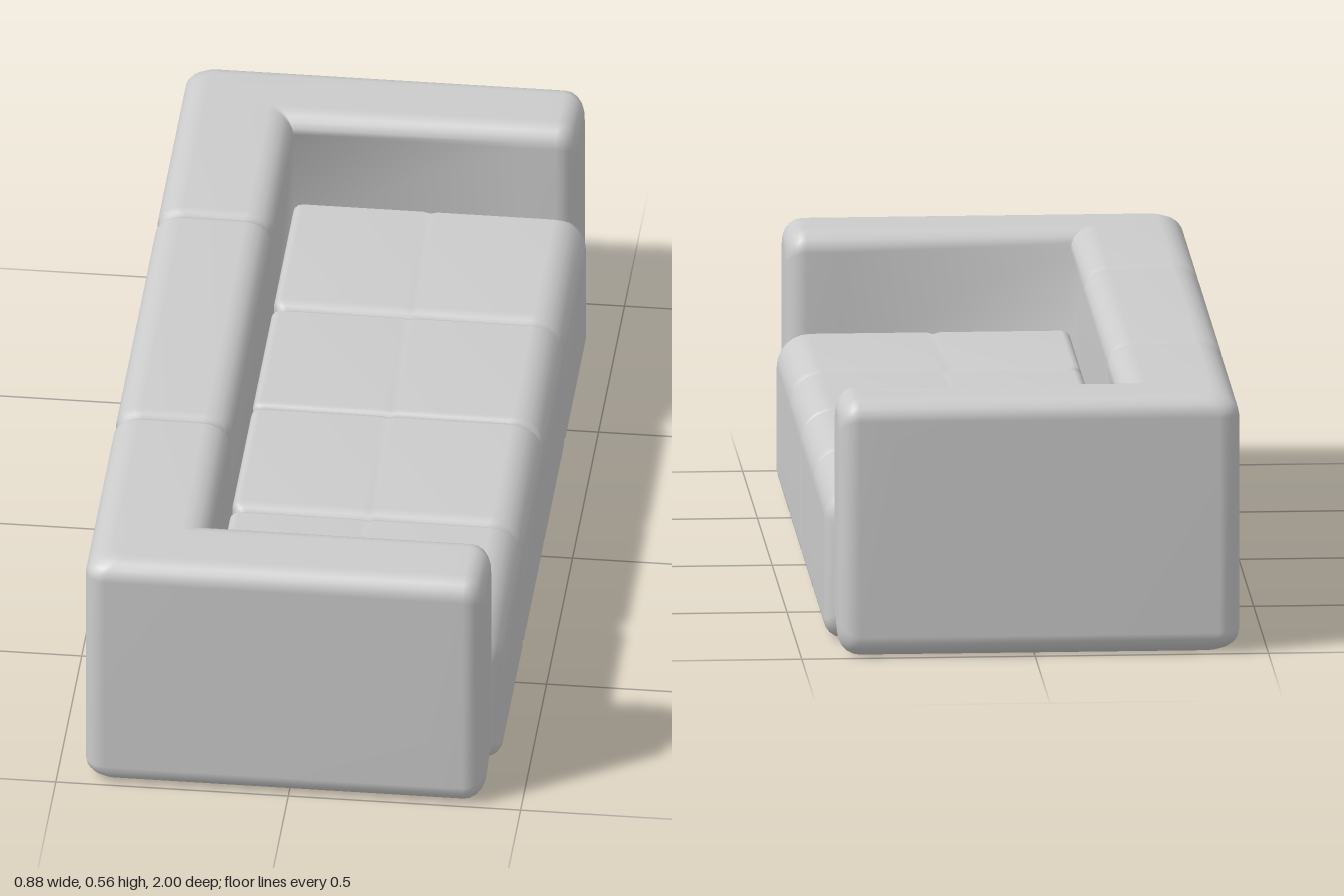
import * as THREE from 'three';
import { mergeVertices } from 'three/addons/utils/BufferGeometryUtils.js';

const material = new THREE.MeshStandardMaterial({ color: 0xcccccc, side: THREE.DoubleSide });

// Points of a quarter arc, from angle a0 to a1 in degrees
function arc(cx, cy, r, a0, a1, n = 5) {
  return Array.from({ length: n + 1 }, (_, i) => {
    const a = THREE.MathUtils.degToRad(a0 + (a1 - a0) * i / n);
    return [cx + r * Math.cos(a), cy + r * Math.sin(a)];
  });
}

// Sweeps a profile [across 0..1, y] over stations { o, i, inset, floor }
// o and i are the [x, z] ends of the section; inset shrinks it; floor cuts its inner edge
function loft(name, profile, height, stations, capped) {
  const pos = [], index = [], n = profile.length;
  for (const { o, i, inset = 0, floor = 0 } of stations) {
    const k = inset / Math.hypot(i[0] - o[0], i[1] - o[1]);
    profile.forEach(([t, y], j) => {
      const u = k + t * (1 - 2 * k);
      let h = inset + y * (1 - 2 * inset / height);
      if (j === n - 1) h = Math.max(h, floor);
      pos.push(o[0] + (i[0] - o[0]) * u, h, o[1] + (i[1] - o[1]) * u);
    });
  }
  for (let s = 0; s < stations.length - 1; s++)
    for (let j = 0; j < n - 1; j++) {
      const a = s * n + j, b = a + n;
      index.push(a, a + 1, b, a + 1, b + 1, b);
    }
  if (capped) {
    for (const end of [0, stations.length - 1]) {
      const { o, i } = stations[end], c = pos.length / 3, a = end * n;
      pos.push((o[0] + i[0]) / 2, height / 2, (o[1] + i[1]) / 2);
      for (let j = 0; j < n; j++) {
        const p = a + j, q = a + (j + 1) % n;
        index.push(...(end === 0 ? [c, q, p] : [c, p, q]));
      }
    }
  }
  let geometry = new THREE.BufferGeometry();
  geometry.setAttribute('position', new THREE.Float32BufferAttribute(pos, 3));
  geometry.setIndex(index);
  geometry = mergeVertices(geometry, 1e-4);
  geometry.computeVertexNormals();
  const mesh = new THREE.Mesh(geometry, material);
  mesh.name = name;
  return mesh;
}

// Groove across a section at z: [z, inset] pairs in falling z
const seam = (z, w, d) => [[z + w, 0], [z + w * 0.4, d * 0.6], [z, d], [z - w * 0.4, d * 0.6], [z - w, 0]];

// Arms and back in one U-shaped, hollow shell, open underneath
function makeFrame() {
  const H = 0.56, r = 0.045, front = 0.42, back = -0.44, inX = -0.19, inZ = 0.8;
  const across = ([u, y]) => [u / 0.2, y];
  const profile = [
    ...arc(r, r, r, 270, 180),
    ...arc(r, H - r, r, 180, 90),
    ...arc(0.2 - r, H - r, r, 90, 0),
    [0.2, 0.3], [0.2, 0.04],
  ].map(across);

  // Half of the path: arm front, arm, rounded corner, back with its seam
  const half = [];
  for (const [c, s] of arc(0, 0, 1, 90, 0))
    half.push({ o: [front - r + r * s, 1], i: [front - r + r * s, inZ], inset: r * (1 - c) });
  half.forEach((st) => { st.inset = r * (1 - Math.sqrt(Math.max(0, 1 - ((st.o[0] - front + r) / r) ** 2))); });
  half.push({ o: [0.3, 1], i: [0.3, inZ], floor: 0.3 });
  half.push({ o: [inX, 1], i: [inX, inZ], floor: 0.3 });
  for (const o of arc(back + r, 1 - r, r, 90, 180)) half.push({ o, i: [inX, inZ], floor: 0.3 });
  half.push({ o: [back, inZ], i: [inX, inZ], floor: 0.3 });
  for (const [z, inset] of seam(0.4, 0.025, 0.01)) half.push({ o: [back, z], i: [inX, z], inset, floor: 0.3 });

  // The front stations run from the end face inwards
  half.sort((a, b) => (a.o[1] === 1 && b.o[1] === 1 ? b.o[0] - a.o[0] : 0));
  const mirrored = half.map((s) => ({ ...s, o: [s.o[0], -s.o[1]], i: [s.i[0], -s.i[1]] })).reverse();
  return loft('armsAndBack', profile, H, [...half, ...mirrored], true);
}

// One seat cushion, open underneath, between two z positions
function makeCushion(name, z0, z1, r0, r1) {
  const H = 0.34, x0 = -0.19, x1 = 0.44, w = x1 - x0;
  const profile = [
    [-0.19, 0.28],
    ...arc(-0.17, H - 0.02, 0.02, 180, 90, 3),
    [0.09, H], [0.105, H - 0.004], [0.12, H],
    ...arc(0.37, H - 0.07, 0.07, 90, 0, 6),
    ...arc(0.4, 0.045, 0.04, 0, -90, 4),
  ].map(([x, y]) => [(x - x0) / w, y]);
  const rows = [
    ...arc(0, 0, r0, 90, 0).map(([c, s]) => [z0 - r0 + s, r0 - c]),
    ...seam((z0 > 0 ? 1 : -1) * 0.4, 0.025, 0.014),
    ...arc(0, 0, r1, 0, 90).map(([c, s]) => [z1 + r1 - s, r1 - c]),
  ];
  return loft(name, profile, H, rows.map(([z, inset]) => ({ o: [x0, z], i: [x1, z], inset })), false);
}

export function createModel() {
  const sofa = new THREE.Group();
  sofa.name = 'sofa';
  sofa.add(
    makeFrame(),
    makeCushion('seatCushionLeftHalf', 0.84, 0, 0.045, 0.018),
    makeCushion('seatCushionRightHalf', 0, -0.84, 0.018, 0.045),
  );
  return sofa;
}
